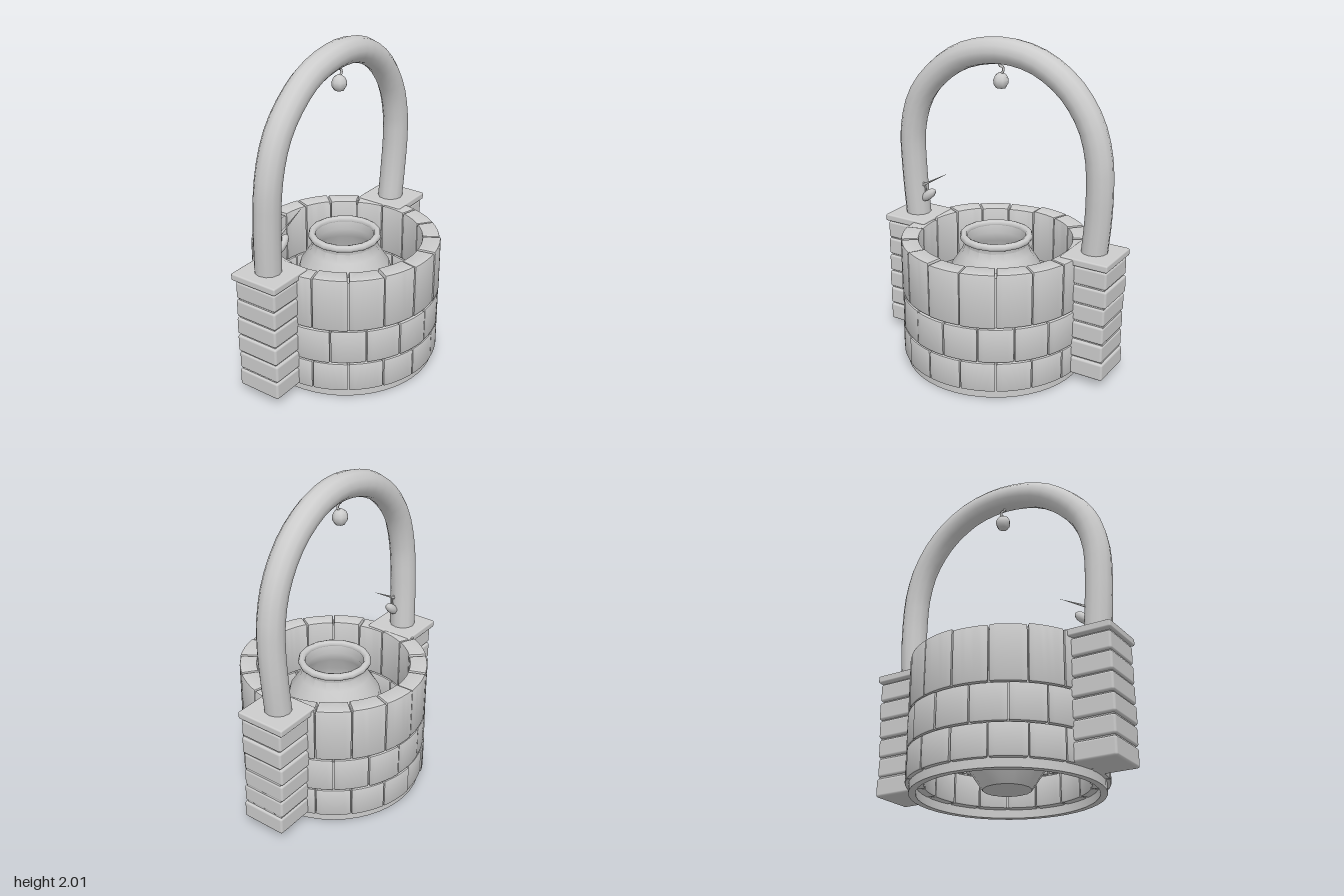
import * as THREE from 'three';
import { toCreasedNormals } from 'three/addons/utils/BufferGeometryUtils.js';
import { RoundedBoxGeometry } from 'three/addons/geometries/RoundedBoxGeometry.js';

const V = (x, y, z) => new THREE.Vector3(x, y, z);

export function createModel() {
  const model = new THREE.Group();
  model.name = 'well';
  const stone = new THREE.MeshStandardMaterial({ color: 0xcccccc });
  stone.name = 'paleStone';

  let seed = 7;
  const jitter = (amount) => {
    seed = (seed * 16807) % 2147483647;
    return (seed / 2147483647 - 0.5) * 2 * amount;
  };
  const add = (name, geometry, parent = model) => {
    const mesh = new THREE.Mesh(geometry, stone);
    mesh.name = name;
    parent.add(mesh);
    return mesh;
  };
  const group = (name) => {
    const g = new THREE.Group();
    g.name = name;
    model.add(g);
    return g;
  };
  const lathe = (points, segments) =>
    new THREE.LatheGeometry(points.map(([r, y]) => new THREE.Vector2(r, y)), segments);
  const ring = (inner, outer, y0, y1) => toCreasedNormals(
    lathe([[inner, y0], [outer, y0], [outer, y1], [inner, y1], [inner, y0]], 48), 0.6);

  // Curved stone with bevelled edges, spanning two angles and two heights
  function curvedBlock(a0, a1, inner, outer, y0, y1) {
    const bevel = 0.011;
    const gapOut = (bevel + 0.004) / outer, gapIn = (bevel + 0.004) / inner;
    const shape = new THREE.Shape();
    shape.absarc(0, 0, outer - bevel, a0 + gapOut, a1 - gapOut, false);
    shape.absarc(0, 0, inner + bevel, a1 - gapIn, a0 + gapIn, true);
    shape.closePath();
    const geometry = new THREE.ExtrudeGeometry(shape, {
      depth: y1 - y0 - 2 * bevel, curveSegments: 4,
      bevelSize: bevel, bevelThickness: bevel, bevelSegments: 2,
    });
    geometry.rotateX(-Math.PI / 2).translate(0, y0 + bevel, 0);
    return toCreasedNormals(geometry, 0.5);
  }

  // Round wall: three courses of stones around a mortar core
  const wall = group('wall');
  add('baseRing', ring(0.515, 0.555, 0, 0.055), wall);
  add('mortarCore', ring(0.485, 0.555, 0.055, 0.77), wall);
  const count = 17, step = (Math.PI * 2) / count;
  const courses = [[0.05, 0.238, 0], [0.242, 0.458, 0.5], [0.462, 0.797, 0]];
  courses.forEach(([y0, y1, offset], row) => {
    for (let i = 0; i < count; i++) {
      const a = Math.PI / 2 + (i + offset) * step;
      const top = row === 2 ? y1 + jitter(0.006) : y1;
      add('wallStone', curvedBlock(a, a + step, 0.468, 0.577 + jitter(0.004), y0, top), wall);
    }
  });

  // Side pillars: six stacked bricks under a flat cap
  for (const side of [-1, 1]) {
    const pillar = group(side > 0 ? 'leftPillar' : 'rightPillar');
    add('pillarCore', new THREE.BoxGeometry(0.26, 0.7, 0.255), pillar)
      .position.set(side * 0.635, 0.415, -0.073);
    for (let i = 0; i < 6; i++) {
      add('pillarBrick', new RoundedBoxGeometry(0.285, 0.11, 0.285, 2, 0.014), pillar)
        .position.set(side * (0.633 + jitter(0.005)), 0.108 + i * 0.118, -0.073 + jitter(0.006));
    }
    add('pillarCap', new RoundedBoxGeometry(0.302, 0.045, 0.318, 2, 0.01), pillar)
      .position.set(side * 0.634, 0.782, -0.08);
  }

  // Bent wooden arch
  const archPath = new THREE.CatmullRomCurve3([
    V(-0.637, 0.78, -0.085), V(-0.65, 1.1, -0.07), V(-0.64, 1.37, -0.055),
    V(-0.575, 1.58, -0.05), V(-0.465, 1.725, -0.05), V(-0.28, 1.86, -0.05),
    V(-0.05, 1.924, -0.047), V(0.13, 1.92, -0.05), V(0.28, 1.875, -0.055),
    V(0.455, 1.755, -0.06), V(0.585, 1.57, -0.065), V(0.64, 1.38, -0.068),
    V(0.652, 1.2, -0.072), V(0.645, 1.0, -0.08), V(0.625, 0.78, -0.085),
  ]);
  add('arch', new THREE.TubeGeometry(archPath, 36, 0.08, 12, false));

  // Round pot with a rolled lip, open at the top
  const pot = group('pot');
  pot.position.z = -0.008;
  add('potBody', toCreasedNormals(lathe([
    [0, 0.03], [0.14, 0.03], [0.235, 0.17], [0.295, 0.33], [0.312, 0.47], [0.28, 0.6],
    [0.215, 0.7], [0.195, 0.75], [0.21, 0.8], [0.185, 0.8], [0.175, 0.74], [0.195, 0.68],
    [0.26, 0.58], [0.285, 0.47], [0.27, 0.34], [0.215, 0.19], [0.13, 0.06], [0, 0.06],
  ], 16), 0.7), pot);
  const lip = add('potLip', new THREE.TorusGeometry(0.203, 0.023, 8, 16), pot);
  lip.rotation.x = Math.PI / 2;
  lip.position.y = 0.798;

  // Small bell hanging from a hook below the arch
  const bell = group('bell');
  bell.position.set(0.005, 1.71, -0.05);
  add('bellBody', lathe([
    [0, 0], [0.03, 0], [0.045, 0.025], [0.046, 0.05], [0.034, 0.075], [0.012, 0.09], [0, 0.09],
  ], 8), bell);
  add('bellHook', new THREE.TubeGeometry(new THREE.CatmullRomCurve3([
    V(0, 0.08, 0), V(0.018, 0.1, 0.005), V(0.012, 0.125, 0), V(-0.012, 0.13, 0), V(0, 0.16, 0),
  ]), 12, 0.008, 5, false), bell);

  // Leaf and thin twig on one leg of the arch
  const sprig = group('sprig');
  const leaf = add('leaf', new THREE.SphereGeometry(1, 10, 6), sprig);
  leaf.scale.set(0.068, 0.03, 0.03);
  leaf.rotation.z = 0.7;
  leaf.position.set(-0.54, 0.94, -0.06);
  const twigStart = V(-0.58, 1.0, -0.055), twigEnd = V(-0.37, 1.12, -0.035);
  const direction = twigEnd.clone().sub(twigStart);
  const twig = add('twig', new THREE.ConeGeometry(0.009, direction.length(), 6), sprig);
  twig.position.copy(twigStart).add(twigEnd).multiplyScalar(0.5);
  twig.quaternion.setFromUnitVectors(V(0, 1, 0), direction.normalize());
  add('stem', new THREE.TubeGeometry(new THREE.CatmullRomCurve3([
    V(-0.575, 1.02, -0.055), V(-0.555, 0.99, -0.05), V(-0.56, 0.95, -0.058),
  ]), 6, 0.006, 5, false), sprig);

  return model;
}
